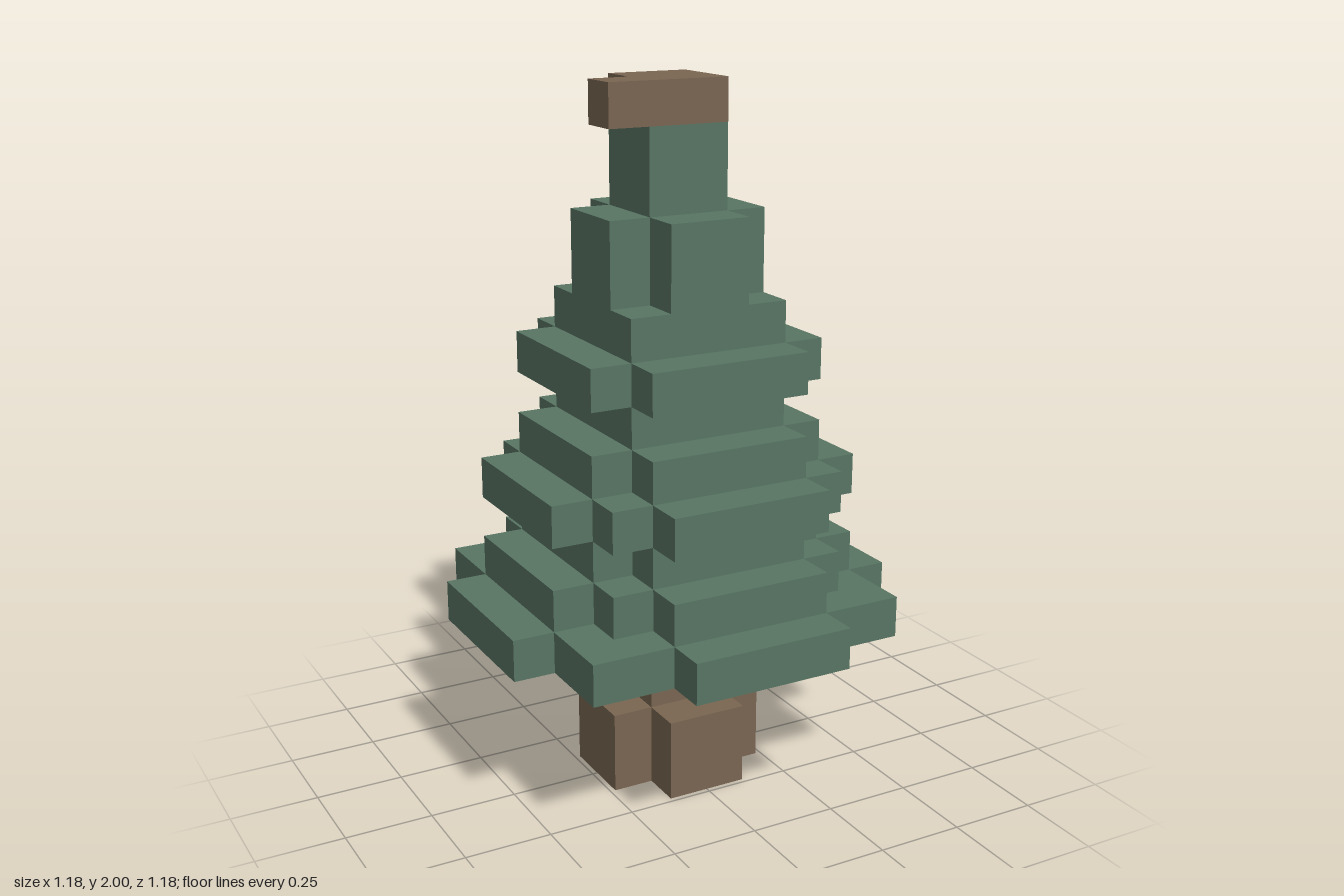
import * as THREE from 'three';

const U = 2 / 17; // edge of one cube; the tree is 17 cubes tall

// Upright prism from an outline given in cubes (x, -z)
function prism(points, y, height, material, name) {
  const shape = new THREE.Shape(points.map(([x, z]) => new THREE.Vector2(x * U, z * U)));
  const geo = new THREE.ExtrudeGeometry(shape, { depth: height * U, bevelEnabled: false });
  geo.rotateX(-Math.PI / 2);
  const mesh = new THREE.Mesh(geo, material);
  mesh.position.y = y * U;
  mesh.name = name;
  return mesh;
}

// Stepped cross: arms reach `arm`, are `half` wide each side, around a square core
function crossOutline(arm, half, core) {
  let quarter;
  if (arm === half) quarter = [[arm, arm]];
  else if (core === half) quarter = [[arm, half], [half, half], [half, arm]];
  else quarter = [[arm, half], [core, half], [core, core], [half, core], [half, arm]];
  const points = [];
  for (let i = 0; i < 4; i++) {
    points.push(...quarter);
    quarter = quarter.map(([x, z]) => [-z, x]);
  }
  return points;
}

export function createModel() {
  const tree = new THREE.Group();
  tree.name = 'tree';
  const brown = new THREE.MeshStandardMaterial({ color: 0x7a6652 });
  const green = new THREE.MeshStandardMaterial({ color: 0x587563 });

  // Trunk with its wider foot
  tree.add(prism(crossOutline(2, 1, 1), 0, 2, brown, 'trunkFoot'));
  tree.add(prism(crossOutline(1, 1, 1), 2, 2, brown, 'trunk'));

  // Foliage tiers: bottom, height, arm, half width, core
  const foliage = new THREE.Group();
  foliage.name = 'foliage';
  const tiers = [
    [4, 1, 5, 2, 4],
    [5, 1, 4, 2, 3],
    [6, 1, 3, 2, 2],
    [7, 1, 4, 2, 3],
    [8, 1, 3, 2, 2],
    [9, 1, 2, 2, 2],
    [10, 1, 3, 2, 2],
    [11, 1, 2, 2, 2],
    [12, 2, 2, 1, 1],
    [14, 2, 1, 1, 1],
  ];
  tiers.forEach(([y, h, arm, half, core], i) => {
    foliage.add(prism(crossOutline(arm, half, core), y, h, green, `foliageTier${i + 1}`));
  });
  tree.add(foliage);

  // Brown cap with one cube jutting out at the side
  const cap = [[-2, -1], [1, -1], [1, 1], [-1, 1], [-1, 0], [-2, 0]];
  tree.add(prism(cap, 16, 1, brown, 'treetopCap'));

  return tree;
}
